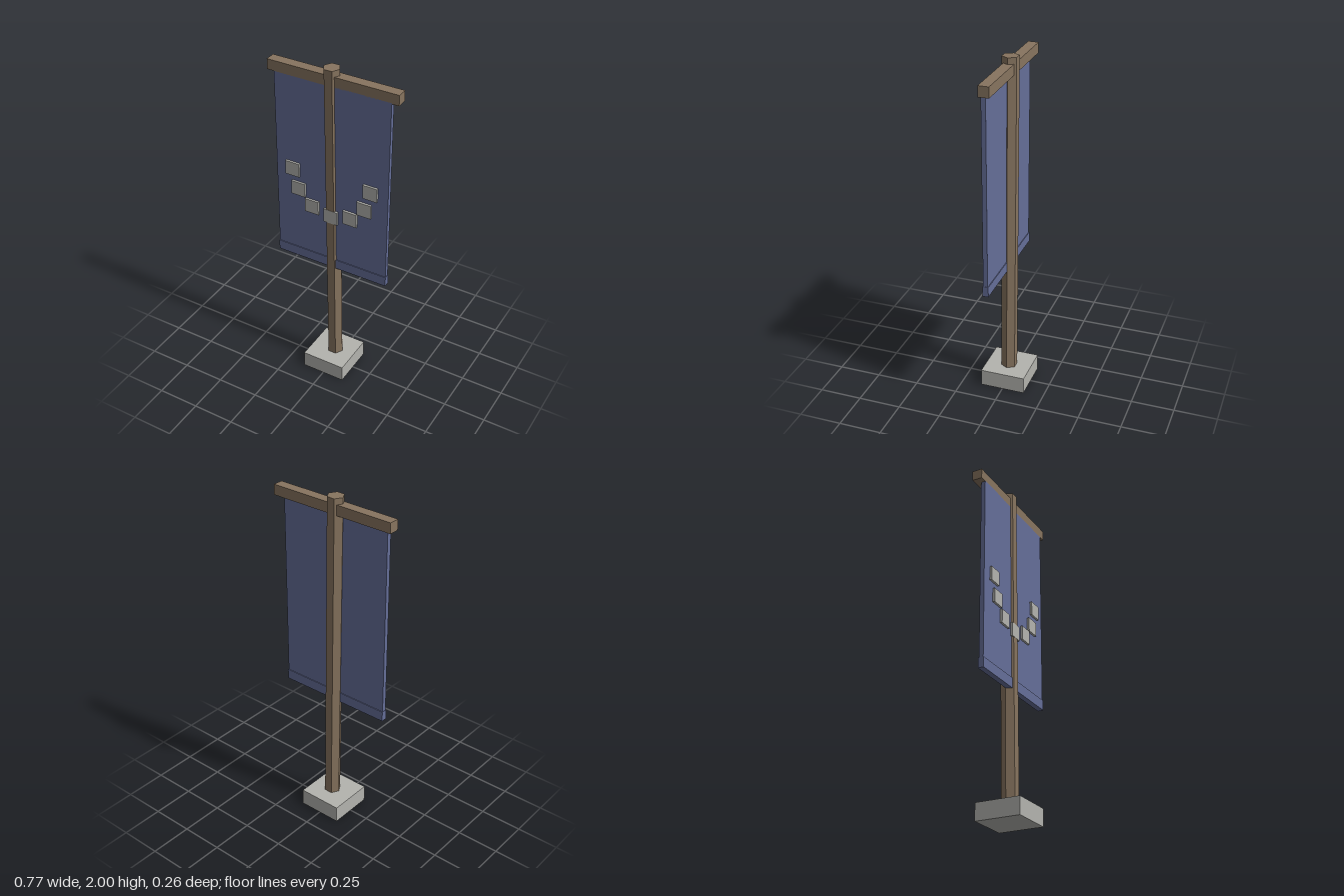
import * as THREE from 'three';

const mat = (name, color) => {
  const m = new THREE.MeshStandardMaterial({ color });
  m.name = name;
  return m;
};

export function createModel() {
  const wood = mat('wood', 0x87745f);
  const cloth = mat('blueCloth', 0x656e98);
  const stone = mat('paleStone', 0xb3b3ae);
  const group = new THREE.Group();
  group.name = 'bannerPost';

  const add = (name, geometry, material, x, y, z) => {
    const mesh = new THREE.Mesh(geometry, material);
    mesh.name = name;
    mesh.position.set(x, y, z);
    group.add(mesh);
    return mesh;
  };
  const box = (name, material, w, h, d, x, y, z) =>
    add(name, new THREE.BoxGeometry(w, h, d), material, x, y, z);

  // Stone footing
  box('base', stone, 0.264, 0.1, 0.264, 0, 0.05, 0);

  // Six-sided pole, leaning slightly to one side
  const poleShape = new THREE.CylinderGeometry(0.048, 0.048, 1.94, 6).toNonIndexed();
  poleShape.rotateY(Math.PI / 6);
  poleShape.computeVertexNormals();
  add('pole', poleShape, wood, -0.002, 1.03, 0).rotation.z = 0.0118;

  // Crossbar through the top of the pole
  box('crossbar', wood, 0.774, 0.06, 0.06, 0, 1.935, 0);

  // Hanging cloth with a thicker hem along the bottom
  box('banner', cloth, 0.692, 1.11, 0.026, 0, 1.355, 0.017);
  box('hem', cloth, 0.696, 0.06, 0.034, 0, 0.78, 0.017);

  // Square plates in a U-shaped arc
  const plates = [[0, 1.102], [0.12, 1.13], [0.206, 1.22], [0.241, 1.34]];
  for (const [x, y] of plates) {
    for (const side of x ? [-1, 1] : [1]) {
      box('emblemPlate', stone, 0.086, 0.084, 0.014, side * x, y, 0.036);
    }
  }
  return group;
}
